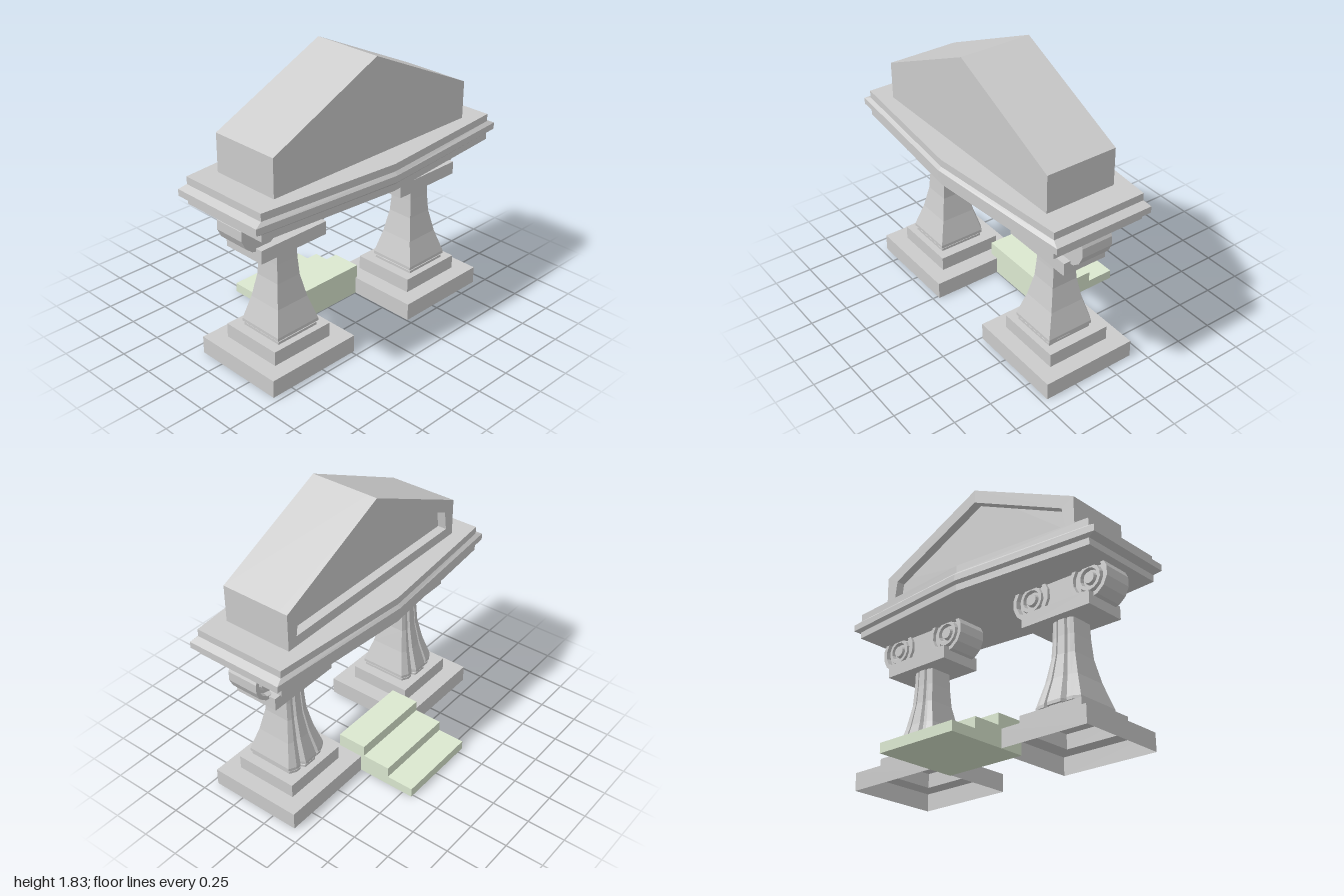
import * as THREE from 'three';

const stone = new THREE.MeshStandardMaterial({ color: 0xcccccc, flatShading: true });
const shell = new THREE.MeshStandardMaterial({ color: 0xcccccc, flatShading: true, side: THREE.DoubleSide });
const green = new THREE.MeshStandardMaterial({ color: 0xdbe8d0, flatShading: true });

function add(parent, name, geometry, material = stone, x = 0, y = 0, z = 0) {
  const mesh = new THREE.Mesh(geometry, material);
  mesh.name = name;
  mesh.position.set(x, y, z);
  parent.add(mesh);
  return mesh;
}

// Skin stacked rings of [x, y, z], each anticlockwise from above; convex ends may be capped
function loft(rings, capped) {
  const pos = [];
  const tri = (...pts) => pts.forEach((p) => pos.push(...p));
  const n = rings[0].length;
  for (let r = 0; r < rings.length - 1; r++) {
    const low = rings[r], high = rings[r + 1];
    for (let i = 0; i < n; i++) {
      const j = (i + 1) % n;
      tri(low[i], low[j], high[j]);
      tri(low[i], high[j], high[i]);
    }
  }
  if (capped) {
    const bottom = rings[0], top = rings[rings.length - 1];
    for (let i = 1; i < n - 1; i++) {
      tri(bottom[0], bottom[i + 1], bottom[i]);
      tri(top[0], top[i], top[i + 1]);
    }
  }
  const g = new THREE.BufferGeometry();
  g.setAttribute('position', new THREE.Float32BufferAttribute(pos, 3));
  g.computeVertexNormals();
  return g;
}

const v2 = (list) => list.map(([x, y]) => new THREE.Vector2(x, y));

function extrude(points, depth, hole) {
  const shape = new THREE.Shape(v2(points));
  if (hole) shape.holes.push(new THREE.Path(v2(hole)));
  return new THREE.ExtrudeGeometry(shape, { depth, bevelEnabled: false });
}

// Hollow stepped plinth, open underneath
function plinthGeometry() {
  const profile = [[0.33, 0], [0.33, 0.115], [0.222, 0.115], [0.222, 0.208], [0.14, 0.208]];
  return new THREE.LatheGeometry(v2(profile.map(([r, y]) => [r * Math.SQRT2, y])), 4)
    .rotateY(Math.PI / 4).scale(1, 1, 0.96);
}

// Flared square shaft with ribs and flutes on the back
function shaftGeometry() {
  const section = [[-1, 1], [1, 1], [1, -0.78], [0.72, -0.92], [0.5, -0.92], [0.42, -0.78],
    [0.3, -1], [-0.3, -1], [-0.42, -0.78], [-0.5, -0.92], [-0.72, -0.92], [-1, -0.78]];
  // [y, half width, half depth]
  const levels = [[0.205, 0.153, 0.17], [0.225, 0.153, 0.17], [0.227, 0.148, 0.165], [0.235, 0.148, 0.165],
    [0.237, 0.163, 0.177], [0.257, 0.163, 0.177], [0.41, 0.118, 0.13], [0.56, 0.087, 0.1],
    [0.68, 0.08, 0.09], [0.79, 0.077, 0.087]];
  return loft(levels.map(([y, w, d]) => section.map(([x, z]) => [x * w, y, z * d])), false);
}

// Scroll: plain at the front, ringed at the back
function voluteGeometry() {
  const profile = [[0, -0.105], [0.137, -0.105], [0.137, 0.105], [0.112, 0.105], [0.105, 0.075],
    [0.088, 0.075], [0.082, 0.1], [0.062, 0.1], [0.056, 0.075], [0.042, 0.075], [0.036, 0.1], [0, 0.1]];
  return new THREE.LatheGeometry(v2(profile), 14).rotateX(-Math.PI / 2);
}

function column(name, x) {
  const g = new THREE.Group();
  g.name = name;
  g.position.set(x, 0, 0.145);
  add(g, 'plinth', plinthGeometry(), shell);
  add(g, 'shaft', shaftGeometry());
  add(g, 'abacus', new THREE.BoxGeometry(0.503, 0.085, 0.3), stone, 0, 0.828, 0.005);
  add(g, 'capitalCore', new THREE.BoxGeometry(0.3, 0.19, 0.17), stone, 0, 0.96, 0.005);
  for (const s of [-1, 1]) add(g, 'volute', voluteGeometry(), stone, s * 0.218, 0.98, 0.005);
  return g;
}

// Six-sided slab with a projecting chamfered band
function entablatureGeometry() {
  const levels = [[1.048, 1], [1.092, 1], [1.11, 0], [1.152, 0], [1.172, 1], [1.22, 1]];
  return loft(levels.map(([y, t]) => {
    const x = 1 - 0.05 * t, d = 0.018 * t;
    return [[-x, y, 0.482 - d], [0, y, 0.568 - d], [x, y, 0.482 - d],
      [x, y, -0.178 + d], [0, y, -0.26 + d], [-x, y, -0.178 + d]];
  }), true);
}

export function createModel() {
  const model = new THREE.Group();
  model.name = 'portico';

  model.add(column('rightColumn', -0.561), column('leftColumn', 0.587));
  add(model, 'entablature', entablatureGeometry());

  // Gabled block with a sunken panel in its back face
  const gable = [[-0.79, 1.22], [0.79, 1.22], [0.79, 1.463], [0, 1.83], [-0.79, 1.463]];
  const panel = [[-0.72, 1.285], [-0.7, 1.415], [0, 1.74], [0.7, 1.415], [0.72, 1.285]];
  add(model, 'pediment', extrude(gable, 0.41), stone, 0, 0, -0.02);
  add(model, 'pedimentFrame', extrude(gable, 0.06, panel), stone, 0, 0, -0.08);

  // Three steps going down towards the back
  const steps = [[0, 0], [0.567, 0], [0.567, 0.062], [0.385, 0.062], [0.385, 0.132],
    [0.195, 0.132], [0.195, 0.205], [0, 0.205]];
  add(model, 'steps', extrude(steps, 0.561).rotateY(Math.PI / 2), green, -0.294);

  return model;
}
